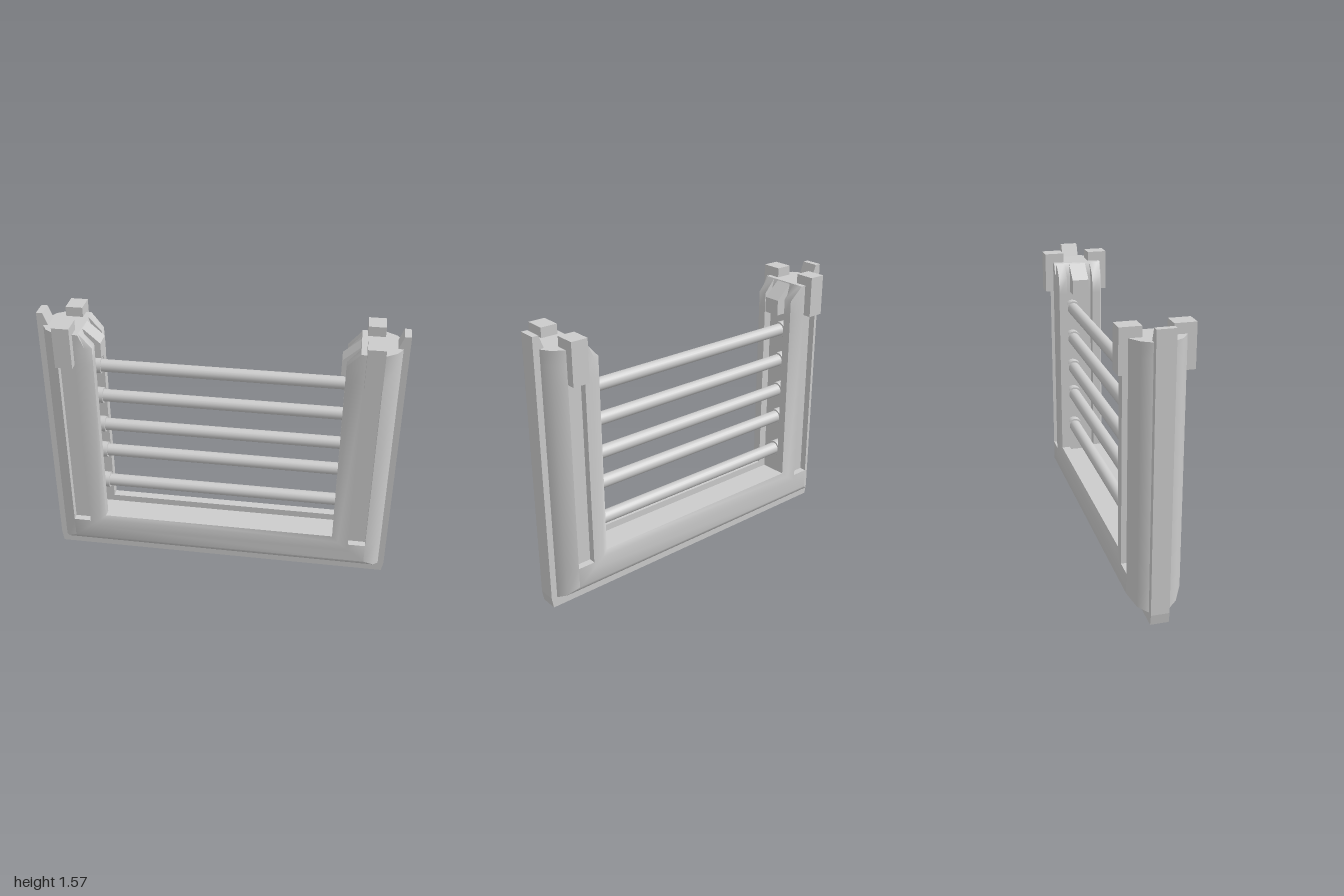
import * as THREE from 'three';
import { toCreasedNormals } from 'three/addons/utils/BufferGeometryUtils.js';

const material = new THREE.MeshStandardMaterial({ color: 0xcccccc });

function part(name, geometry, x = 0, y = 0, z = 0) {
  const mesh = new THREE.Mesh(geometry, material);
  mesh.name = name;
  mesh.position.set(x, y, z);
  return mesh;
}

// Extruded xy outline, centred on z
function plate(points, depth) {
  const shape = new THREE.Shape(points.map(([x, y]) => new THREE.Vector2(x, y)));
  const geometry = new THREE.ExtrudeGeometry(shape, { depth, bevelEnabled: false });
  return geometry.translate(0, 0, -depth / 2);
}

// Frame section: inset from the outer edge, half depth, share of groove depth
const half = [
  [0, 0.055, 0], [0.03, 0.105, 0], [0.09, 0.145, 0], [0.09, 0.145, 1],
  [0.19, 0.145, 1], [0.19, 0.145, 0], [0.25, 0.145, 0], [0.285, 0.13, 0],
  [0.285, 0.08, 0], [0.235, 0.08, 0],
];
const section = [...half, ...half.map(([d, z, g]) => [d, -z, g]).reverse()];

function ring(side, y, groove, maxInset = 1) {
  return section.map(([inset, z, g]) => {
    const d = Math.min(inset, maxInset);
    const mitre = 0.06 + 0.8 * d;
    return [side * (0.965 - d), Math.max(y, mitre), z - Math.sign(z) * g * groove];
  });
}

// U-shaped frame swept down one post, along the base and up the other post
function frameGeometry() {
  const stations = [
    [1.5, 0, 0.215], [1.42, 0], [1.32, 0], [1.32, 0.04], [0.25, 0.04], [0.25, 0], [0, 0],
  ];
  const rings = [
    ...stations.map((s) => ring(-1, ...s)),
    ...stations.map((s) => ring(1, ...s)).reverse(),
  ];
  const n = section.length;
  const index = [];
  for (let i = 0; i < rings.length - 1; i++) {
    for (let j = 0; j < n; j++) {
      const a = i * n + j;
      const b = i * n + (j + 1) % n;
      index.push(a, a + n, b, b, a + n, b + n);
    }
  }
  const last = (rings.length - 1) * n;
  for (let j = 1; j < n - 1; j++) {
    index.push(0, j, j + 1, last, last + j + 1, last + j);
  }
  const geometry = new THREE.BufferGeometry();
  geometry.setAttribute('position', new THREE.Float32BufferAttribute(rings.flat(2), 3));
  geometry.setIndex(index);
  return toCreasedNormals(geometry, 0.85);
}

export function createModel() {
  const model = new THREE.Group();
  model.name = 'railingFrame';
  model.add(part('frame', frameGeometry()));

  // Raised rib around the outside, with pointed upper ends
  const ribHalf = [[0.99, 0], [1, 0.06], [1, 1.57], [0.965, 1.57], [0.935, 1.49], [0.935, 0.08]];
  const ribOutline = [...ribHalf, ...ribHalf.map(([x, y]) => [-x, y]).reverse()];
  model.add(part('outerRib', plate(ribOutline, 0.1)));

  for (const side of [-1, 1]) {
    // Connector lugs on the front and back of each post
    for (const face of [-1, 1]) {
      model.add(part('postLug', new THREE.BoxGeometry(0.095, 0.235, 0.115),
        side * 0.827, 1.4375, face * 0.135));
    }
    // Chamfered lug on the inner side
    const lug = [[0.75, 1.32], [0.655, 1.32], [0.655, 1.41], [0.755, 1.5], [0.79, 1.5], [0.79, 1.32]];
    model.add(part('innerLug', plate(lug.map(([x, y]) => [side * x, y]), 0.1)));
  }

  // Horizontal rails with collars seated in the post channels
  for (const y of [1.225, 1.03, 0.835, 0.655, 0.435]) {
    const rail = new THREE.CylinderGeometry(0.036, 0.036, 1.48, 20).rotateZ(Math.PI / 2);
    model.add(part('rail', rail, 0, y, -0.042));
    for (const side of [-1, 1]) {
      const collar = new THREE.CylinderGeometry(0.046, 0.046, 0.06, 20).rotateZ(Math.PI / 2);
      model.add(part('railCollar', collar, side * 0.713, y, -0.042));
    }
  }
  return model;
}
